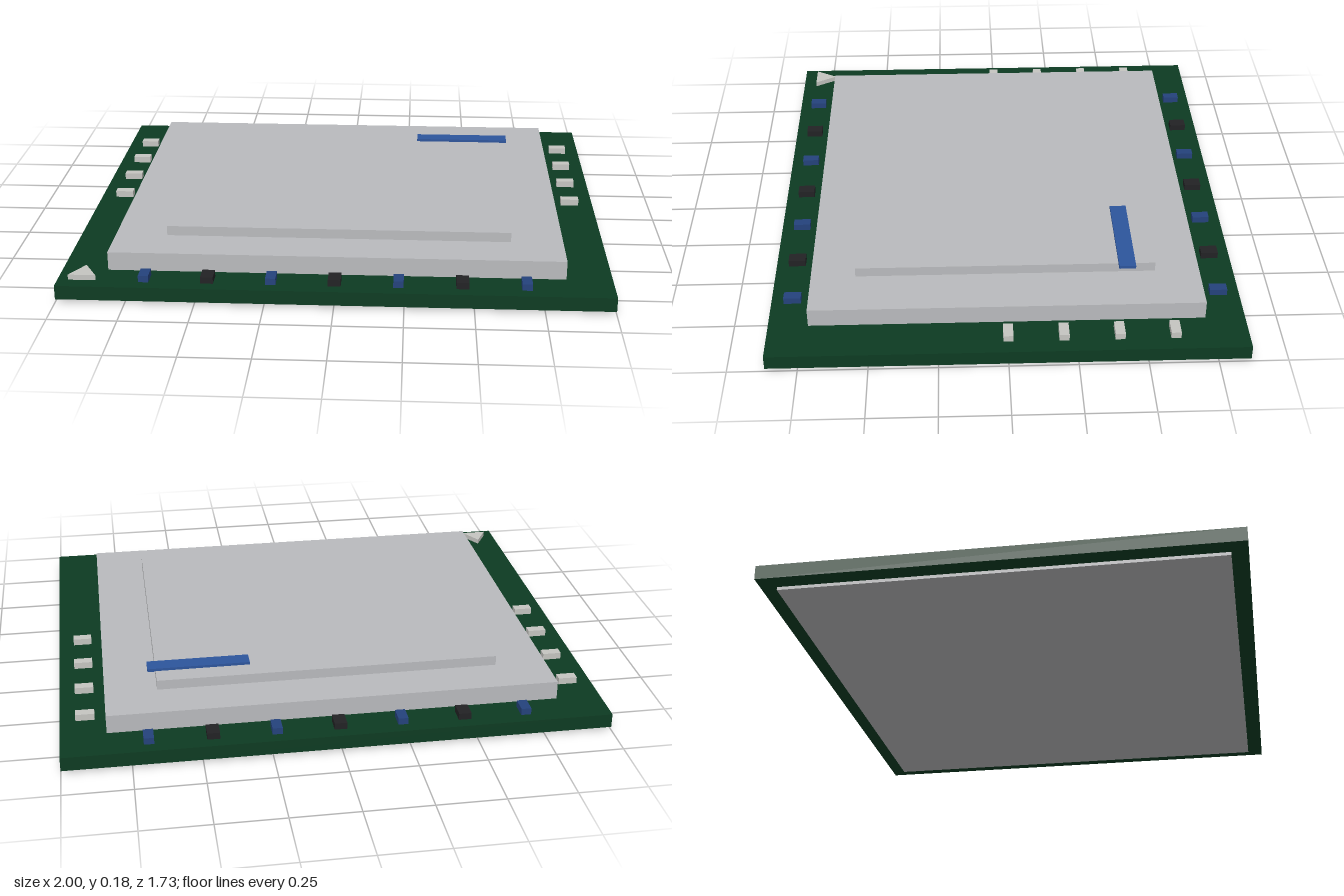
import * as THREE from 'three';

const mat = (name, color) => {
  const m = new THREE.MeshStandardMaterial({ color });
  m.name = name;
  return m;
};

export function createModel() {
  const model = new THREE.Group();
  model.name = 'processorPackage';

  const green = mat('boardGreen', 0x0d3b22);
  const metal = mat('lidMetal', 0xb9babd);
  const under = mat('contactGrey', 0xb5b5b7);
  const silver = mat('padSilver', 0xc4c4c0);
  const stripeBlue = mat('stripeBlue', 0x2d559c);
  const capBlue = mat('capacitorBlue', 0x24427c);
  const black = mat('capacitorBlack', 0x222224);

  // Box standing from y0 to y1, centred on x and z
  const box = (name, material, w, d, y0, y1, x = 0, z = 0) => {
    const mesh = new THREE.Mesh(new THREE.BoxGeometry(w, y1 - y0, d), material);
    mesh.position.set(x, (y0 + y1) / 2, z);
    mesh.name = name;
    model.add(mesh);
  };

  // Stacked slabs
  const top = 0.065;
  box('contactPlate', under, 1.86, 1.61, 0, 0.014);
  box('board', green, 2, 1.73, 0.012, top);
  box('lidBase', metal, 1.666, 1.44, top, 0.135);
  box('lidRaised', metal, 1.28, 1.11, 0.134, 0.172);
  box('lidStripe', stripeBlue, 0.382, 0.062, 0.17, 0.182, 0.479, -0.449);

  // Capacitors along the front and back edges, alternating in colour
  for (const z of [-0.787, 0.787]) {
    for (let i = -3; i <= 3; i++) {
      const blue = i % 2 !== 0;
      box('capacitor', blue ? capBlue : black, blue ? 0.037 : 0.046, 0.064, top - 0.002, 0.09, i * 0.229, z);
    }
  }

  // Silver pads along both sides
  for (const x of [-0.908, 0.908]) {
    for (let i = 0; i < 4; i++) {
      box('sidePad', silver, 0.07, 0.036, top - 0.002, 0.09, x, -0.2 * i);
    }
  }

  // Triangular corner marker
  const marker = new THREE.Mesh(new THREE.CylinderGeometry(0.058, 0.058, 0.022, 3).toNonIndexed(), silver);
  marker.geometry.computeVertexNormals();
  marker.rotation.y = Math.PI;
  marker.position.set(-0.911, 0.074, 0.782);
  marker.name = 'cornerMarker';
  model.add(marker);

  return model;
}
